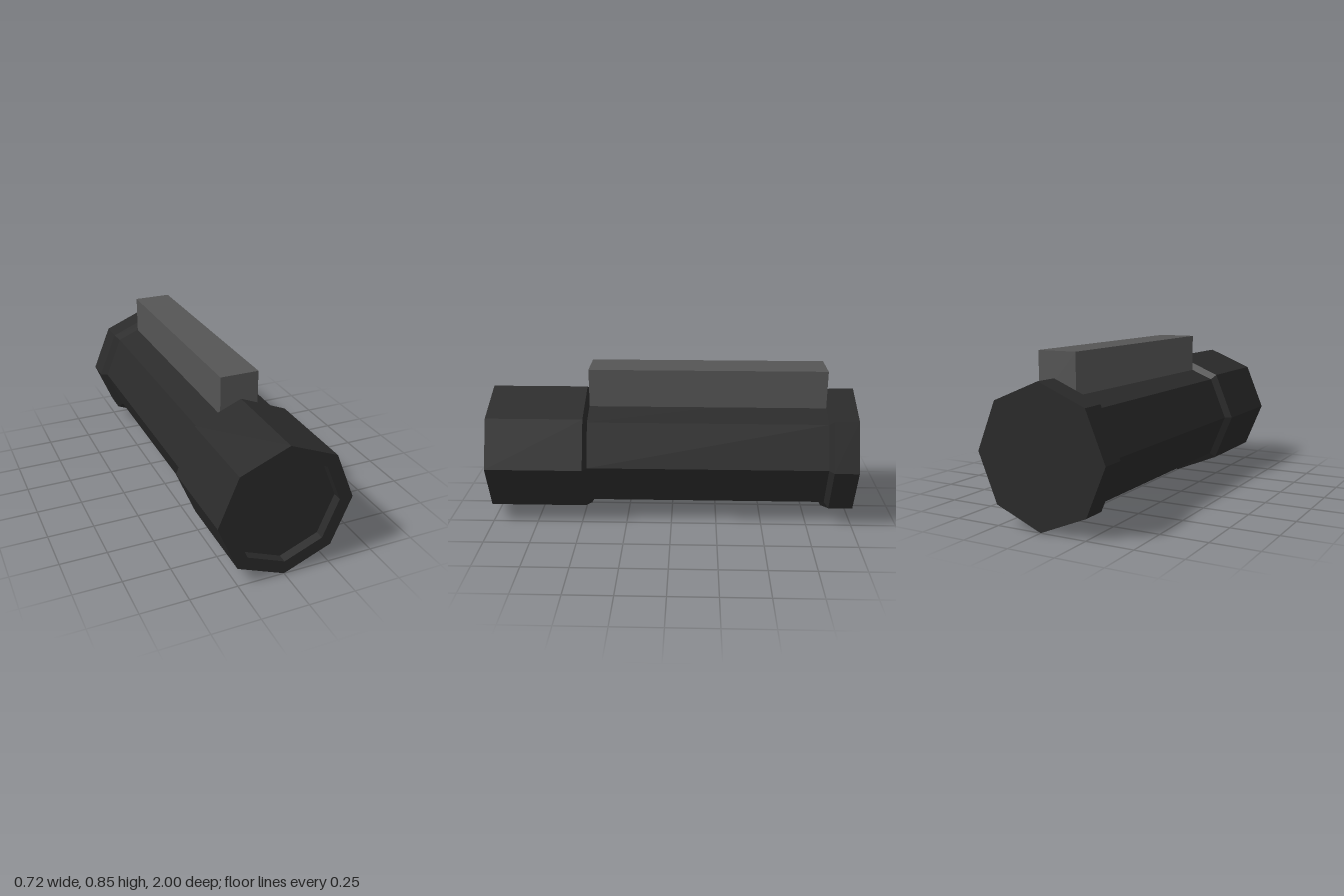
import * as THREE from 'three';

const AXIS_Y = 0.359;

// Eight-sided turned part along z, from [radius, z] points running back to front
function octagonPart(name, profile, material) {
  const points = profile.map(([r, z]) => new THREE.Vector2(r, z));
  const geometry = new THREE.LatheGeometry(points, 8).toNonIndexed();
  geometry.rotateX(Math.PI / 2);
  geometry.computeVertexNormals();
  const mesh = new THREE.Mesh(geometry, material);
  mesh.name = name;
  mesh.position.y = AXIS_Y;
  return mesh;
}

export function createModel() {
  const group = new THREE.Group();
  group.name = 'scope';
  const dark = new THREE.MeshStandardMaterial({ color: 0x2a2a2a, flatShading: true });
  const grey = new THREE.MeshStandardMaterial({ color: 0x555555, flatShading: true });

  const R = 0.359, BODY = 0.322, LENS = 0.287;

  // Closed rear cap with a chamfer down to the tube
  group.add(octagonPart('rearCap', [[0, -1], [R, -1], [R, -0.868], [BODY, -0.845]], dark));

  // Main tube
  group.add(octagonPart('tube', [[BODY, -0.845], [BODY, 0.455]], dark));

  // Front housing with chamfer and rim
  group.add(octagonPart('frontHousing',
    [[BODY, 0.455], [R, 0.475], [R, 1], [LENS, 1]], dark));

  // Shallow recess with a flat lens floor
  group.add(octagonPart('lensRecess', [[LENS, 1], [LENS, 0.95], [0, 0.95]], dark));

  // Mounting rail along the top, sunk into the tube
  const bottom = 0.6, top = 0.845, back = -0.842, front = 0.453;
  const rail = new THREE.Mesh(new THREE.BoxGeometry(0.21, top - bottom, front - back), grey);
  rail.name = 'topRail';
  rail.position.set(0, (top + bottom) / 2, (front + back) / 2);
  group.add(rail);

  return group;
}
